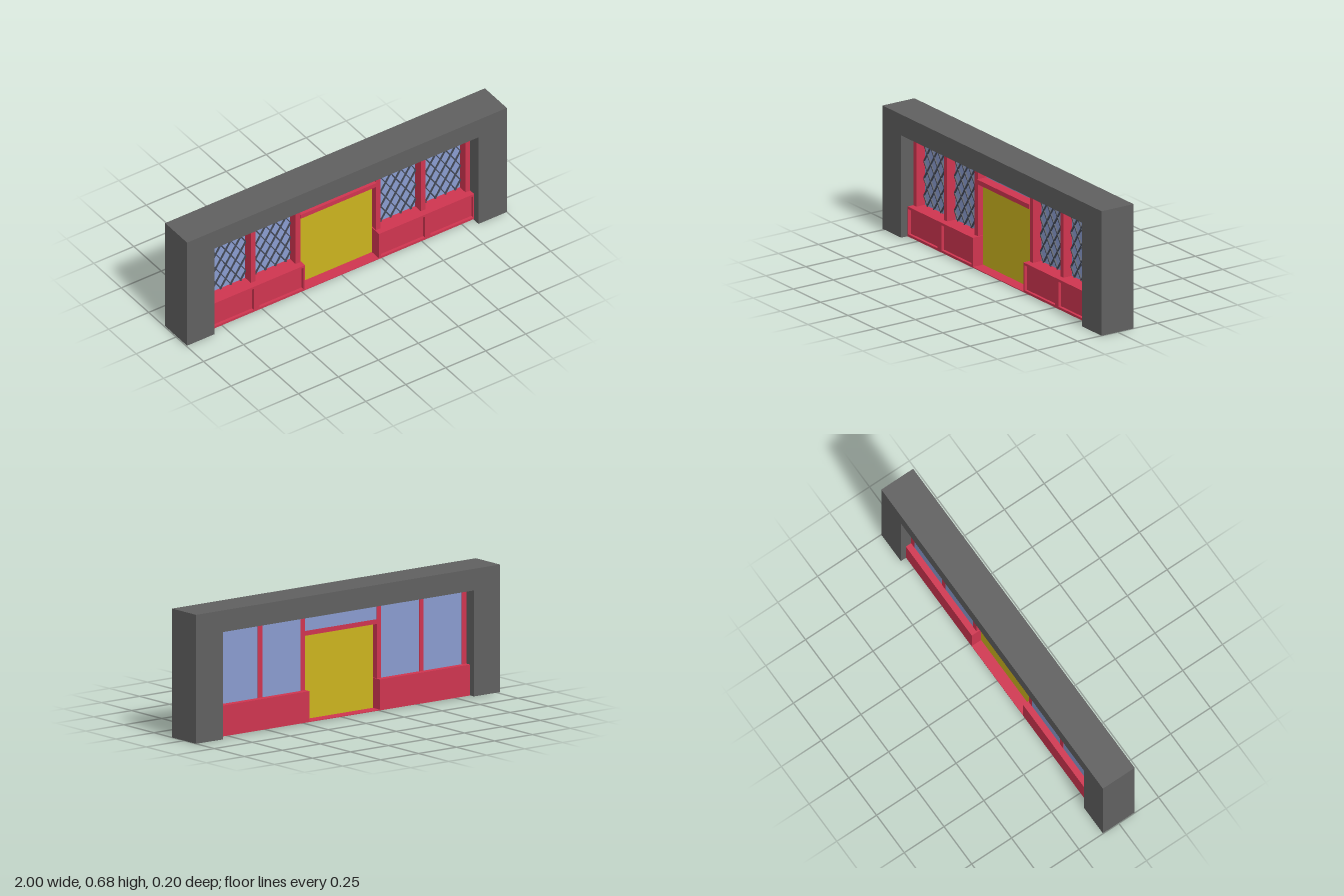
import * as THREE from 'three';

const material = (color) => new THREE.MeshStandardMaterial({ color });
const STONE = material(0x606060);
const RED = material(0xd03550);
const YELLOW = material(0xccb41e);
const GLASS = material(0x8a9cd0);
const LEAD = material(0x444a58);

// Box given by its limits on each axis
function box(parent, name, mat, x0, x1, y0, y1, z0, z1) {
  const mesh = new THREE.Mesh(new THREE.BoxGeometry(x1 - x0, y1 - y0, z1 - z0), mat);
  mesh.position.set((x0 + x1) / 2, (y0 + y1) / 2, (z0 + z1) / 2);
  mesh.name = name;
  parent.add(mesh);
  return mesh;
}

// Diamond lattice of thin bars, clipped to a pane
function lattice(parent, x0, x1, y0, y1, z) {
  const group = new THREE.Group();
  group.name = 'lattice';
  const w = x1 - x0, h = y1 - y0;
  const step = w / 4, slope = 1.5;
  for (const dir of [1, -1]) {
    for (let s = -h / slope + step / 2; s < w; s += step) {
      // bar starts at s on the bottom edge and leans towards larger x
      const a = Math.max(0, s), b = Math.min(w, s + h / slope);
      if (b - a < 0.008) continue;
      const ya = (a - s) * slope, yb = (b - s) * slope;
      const bar = new THREE.Mesh(
        new THREE.BoxGeometry(Math.hypot(b - a, yb - ya), 0.006, 0.008), LEAD);
      bar.name = 'latticeBar';
      const mx = (a + b) / 2;
      bar.position.set(dir > 0 ? x0 + mx : x1 - mx, y0 + (ya + yb) / 2, z);
      bar.rotation.z = dir * Math.atan(slope);
      group.add(bar);
    }
  }
  parent.add(group);
}

export function createModel() {
  const model = new THREE.Group();
  model.name = 'shopFront';
  const base = 0.007, sillTop = 0.17, headTop = 0.566, headBottom = 0.552;
  const offset = -0.003, half = 0.826;

  // Surrounding wall: two piers and a lintel
  const outline = new THREE.Shape([
    [-1, base], [-half + offset, base], [-half + offset, headTop],
    [half + offset, headTop], [half + offset, 0], [1, 0], [1, 0.68], [-1, 0.68],
  ].map(([x, y]) => new THREE.Vector2(x, y)));
  const wall = new THREE.Mesh(
    new THREE.ExtrudeGeometry(outline, { depth: 0.2, bevelEnabled: false }), STONE);
  wall.position.z = -0.1;
  wall.name = 'wall';
  model.add(wall);

  // Everything inside the opening
  const front = new THREE.Group();
  front.name = 'joinery';
  front.position.x = offset;
  model.add(front);

  const zBack = -0.036, zFront = 0.024;
  box(front, 'threshold', RED, -half, half, base, 0.011, -0.069, 0.06);
  box(front, 'headRail', RED, -half, half, headBottom, headTop, zBack, zFront);
  box(front, 'transomRail', RED, -0.237, 0.237, 0.457, 0.482, zBack, 0.03);
  box(front, 'transomGlass', GLASS, -0.237, 0.237, 0.482, headBottom, -0.035, -0.029);
  box(front, 'door', YELLOW, -0.232, 0.232, 0.011, 0.457, -0.01, -0.005);

  for (const side of [-1, 1]) {
    // Adds a box measured outwards from the middle, on this side
    const sided = (name, mat, a, b, ...rest) =>
      box(front, name, mat, Math.min(side * a, side * b), Math.max(side * a, side * b), ...rest);

    // Stall riser with sill, and stiles and rails around recessed panels
    sided('stallRiser', RED, 0.231, half, 0.011, 0.157, -0.069, 0.044);
    sided('sill', RED, 0.231, half, 0.157, sillTop, -0.069, 0.06);
    sided('riserBottomRail', RED, 0.231, half, 0.011, 0.02, 0.044, 0.06);
    for (const [a, b] of [[0.231, 0.243], [0.518, 0.552], [0.82, half]]) {
      sided('riserStile', RED, a, b, 0.02, 0.157, 0.044, 0.06);
    }

    // Mullions; the innermost also frames the doorway
    for (const x of [0.237, 0.517, 0.797]) {
      sided('mullion', RED, x, x + 0.029, sillTop, headTop, zBack, zFront);
    }

    // Leaded windows
    for (const [a, b] of [[0.266, 0.517], [0.546, 0.797]]) {
      sided('windowGlass', GLASS, a, b, sillTop, headBottom, -0.035, -0.029);
      lattice(front, Math.min(side * a, side * b), Math.max(side * a, side * b),
        sillTop, headBottom, -0.023);
    }
  }
  return model;
}
